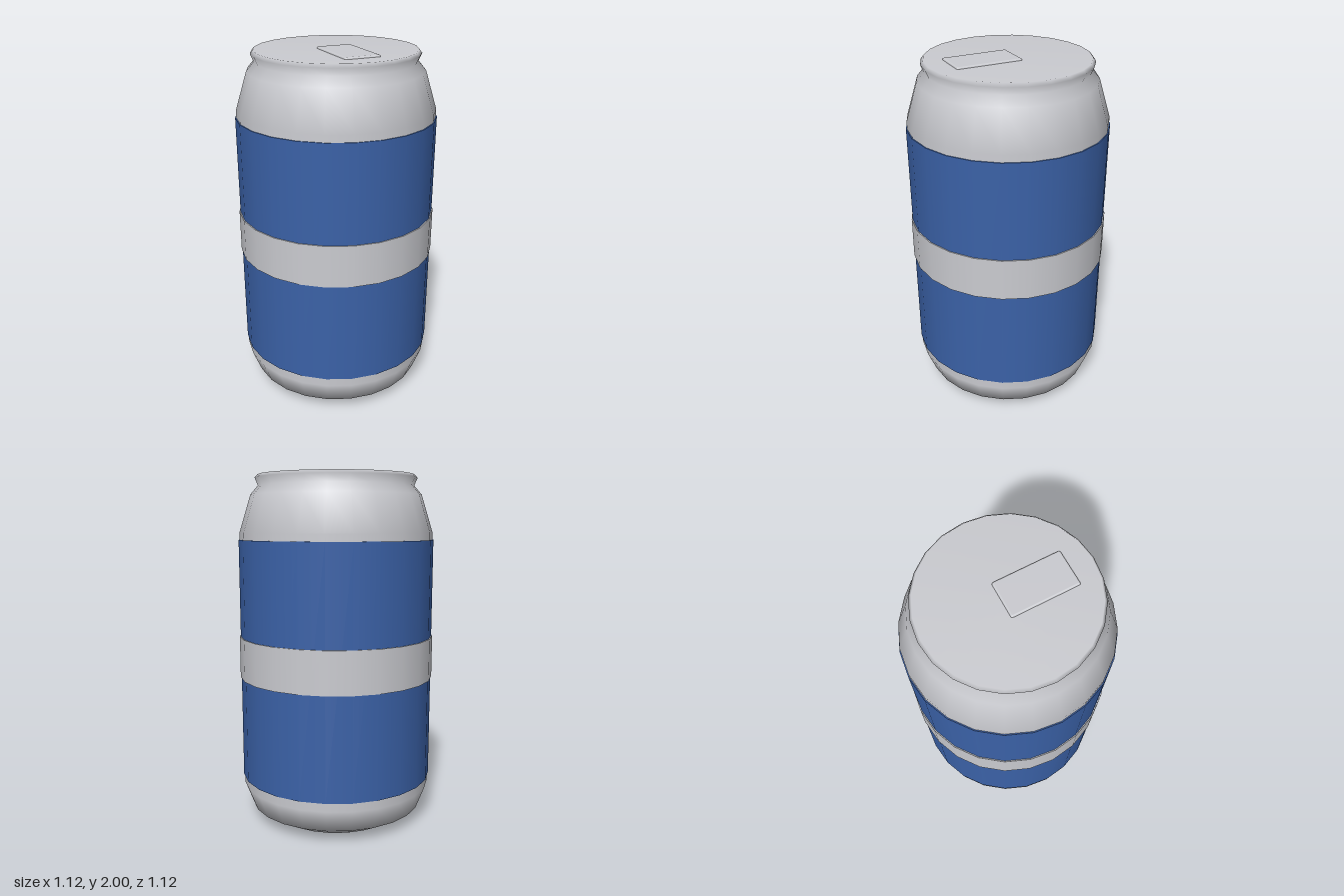
import * as THREE from 'three';
import { RoundedBoxGeometry } from 'three/addons/geometries/RoundedBoxGeometry.js';

const SIDES = 24;

export function createModel() {
  const silver = new THREE.MeshStandardMaterial({ name: 'silver', color: 0xcbccd1 });
  const blue = new THREE.MeshStandardMaterial({ name: 'blue', color: 0x3b62a8 });
  const can = new THREE.Group();
  can.name = 'drinkCan';

  const add = (name, geometry, material, x, y, z) => {
    const mesh = new THREE.Mesh(geometry, material);
    mesh.name = name;
    mesh.position.set(x, y, z);
    can.add(mesh);
  };

  // Body: dished base, straight wall, tapered neck, rim and lid
  const profile = [
    [0, 0.03], [0.37, 0], [0.5, 0.07], [0.55, 0.2], [0.55, 1.67],
    [0.485, 1.88], [0.442, 1.93], [0.46, 1.972], [0.445, 1.99], [0, 1.99],
  ].map(([r, y]) => new THREE.Vector2(r, y));
  add('body', new THREE.LatheGeometry(profile, SIDES), silver, 0, 0, 0);

  // Wrapped sleeve and the raised stripe around its middle
  const wrap = (name, radius, bottom, top, material) => add(
    name, new THREE.CylinderGeometry(radius, radius, top - bottom, SIDES),
    material, 0, (bottom + top) / 2, 0);
  wrap('sleeve', 0.556, 0.25, 1.63, blue);
  wrap('stripe', 0.562, 0.84, 1.08, silver);

  // Pull tab on the lid, towards the front
  add('pullTab', new RoundedBoxGeometry(0.2, 0.025, 0.365, 2, 0.01), silver, 0, 1.9875, 0.148);

  return can;
}
